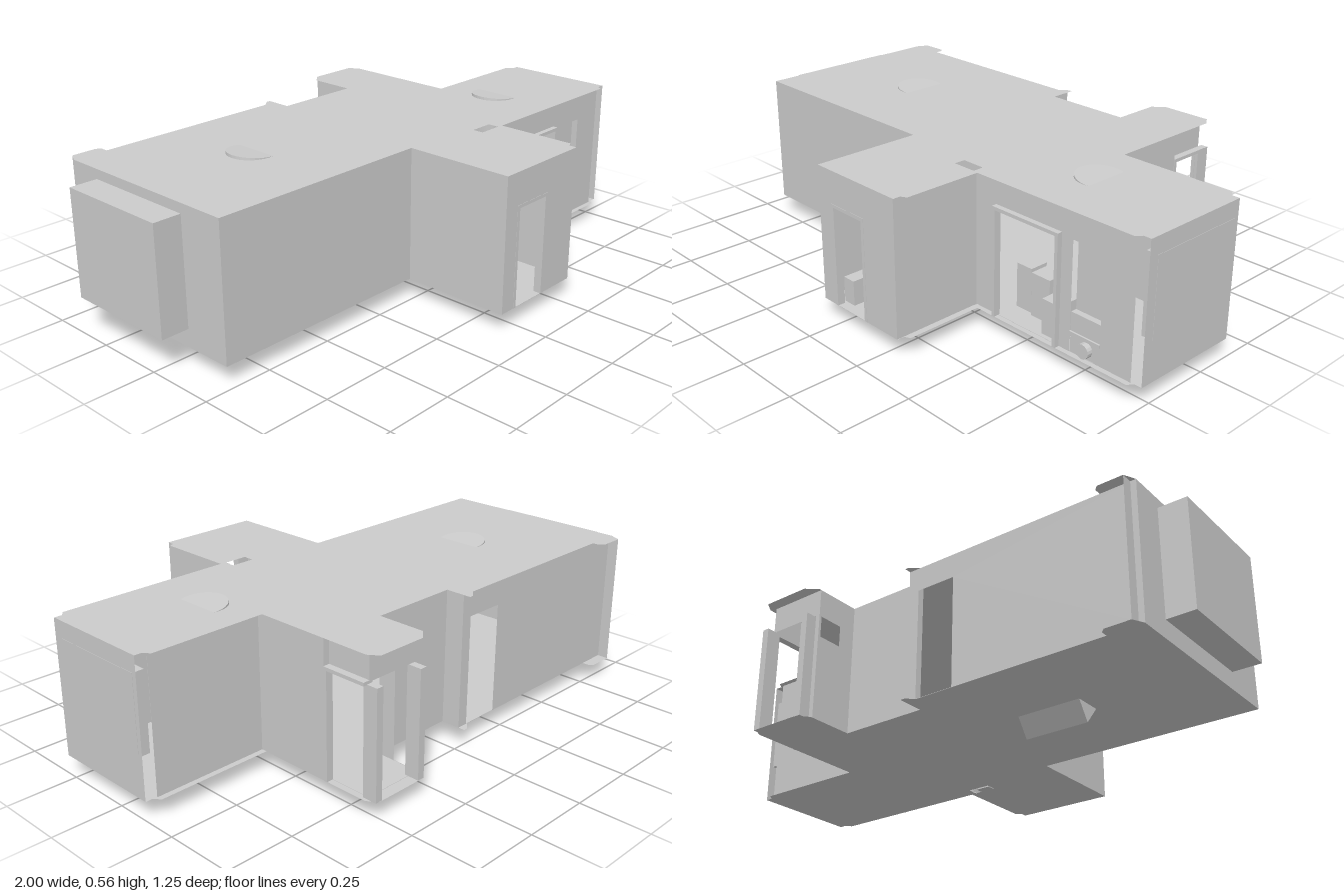
import * as THREE from 'three';

const FLOOR = 0.066, ROOF = 0.545;

export function createModel() {
  const model = new THREE.Group();
  const mat = new THREE.MeshStandardMaterial({ color: 0xcccccc, flatShading: true, side: THREE.DoubleSide });
  const smooth = new THREE.MeshStandardMaterial({ color: 0xcccccc, side: THREE.DoubleSide });

  const add = (name, geo, material = mat) => {
    const mesh = new THREE.Mesh(geo, material);
    mesh.name = name;
    model.add(mesh);
    return mesh;
  };
  // box given by its two extreme corners
  const box = (name, x0, x1, y0, y1, z0, z1) => {
    const m = add(name, new THREE.BoxGeometry(x1 - x0, y1 - y0, z1 - z0));
    m.position.set((x0 + x1) / 2, (y0 + y1) / 2, (z0 + z1) / 2);
  };
  const rect = (a, b, c, d) => [[a, c], [b, c], [b, d], [a, d]].map(p => new THREE.Vector2(...p));

  // horizontal sheet from the plan outline in x, z
  const slab = (name, y, outline, hole) => {
    const s = new THREE.Shape(outline.map(([x, z]) => new THREE.Vector2(x, z)));
    s.holes.push(new THREE.Path(rect(...hole)));
    const g = new THREE.ShapeGeometry(s);
    g.rotateX(Math.PI / 2);
    add(name, g).position.y = y;
  };
  // upright sheet between two plan points; openings are [start, end, bottom, top] along it
  const wall = (name, [x0, z0], [x1, z1], openings = []) => {
    const len = Math.hypot(x1 - x0, z1 - z0);
    const s = new THREE.Shape(rect(0, len, FLOOR, ROOF));
    for (const o of openings) s.holes.push(new THREE.Path(rect(...o)));
    const m = add(name, new THREE.ShapeGeometry(s));
    m.position.set(x0, 0, z0);
    m.rotation.y = Math.atan2(-(z1 - z0), x1 - x0);
  };
  // three-sided frame around a doorway in a wall facing z
  const doorFrame = (name, x0, x1, top, z0, z1, t) => {
    box(name + 'Left', x1 - t, x1, FLOOR, top, z0, z1);
    box(name + 'Right', x0, x0 + t, FLOOR, top, z0, z1);
    box(name + 'Head', x0, x1, top - t, top, z0, z1);
  };

  // floor and ceiling sheets, reaching past the walls at the corners
  const plan = [
    [-0.9, -0.49], [-0.88, -0.53], [-0.79, -0.53], [-0.775, -0.515], [-0.775, -0.49],
    [-0.075, -0.49], [-0.045, -0.515], [-0.03, -0.515], [-0.03, -0.42], [0.29, -0.42],
    [0.29, -0.592], [0.33, -0.627], [0.51, -0.627], [0.535, -0.592],
    [0.535, -0.15], [0.955, -0.15], [0.972, -0.127], [0.998, -0.127], [0.998, 0.285],
    [0.97, 0.285], [0.955, 0.305], [0.322, 0.305], [0.322, 0.59], [0.302, 0.6],
    [0.302, 0.627], [-0.075, 0.627], [-0.075, 0.23], [-0.9, 0.23],
  ];
  const shaft = [0.215, 0.302, 0.262, 0.302];
  slab('ceiling', ROOF, plan, shaft);
  slab('floor', FLOOR, plan, shaft);
  box('shaftBeam', 0.22, 0.275, FLOOR, ROOF - 0.02, 0.272, 0.302);

  // outer walls
  wall('frontRightWall', [-0.9, 0.23], [-0.075, 0.23]);
  wall('porchRightWall', [-0.075, 0.23], [-0.075, 0.627]);
  wall('porchFrontWall', [-0.075, 0.627], [0.3, 0.627], [[0.06, 0.225, FLOOR + 0.001, 0.43]]);
  wall('porchLeftWall', [0.3, 0.627], [0.3, 0.285]);
  wall('frontLeftWall', [0.3, 0.287], [0.957, 0.287],
    [[0.09, 0.37, FLOOR + 0.001, 0.455], [0.415, 0.535, FLOOR + 0.001, 0.445]]);
  wall('leftEndWall', [0.998, 0.287], [0.998, -0.127]);
  wall('backLeftWall', [0.957, -0.13], [0.535, -0.13]);
  wall('annexInnerWall', [0.535, -0.13], [0.535, -0.42]);
  wall('annexStepWall', [0.535, -0.42], [0.512, -0.42]);
  wall('annexLeftWall', [0.512, -0.42], [0.512, -0.585], [[0.008, 0.15, FLOOR + 0.001, 0.445]]);
  wall('annexRightWall', [0.29, -0.42], [0.29, -0.585], [[0.065, 0.155, FLOOR + 0.001, 0.445]]);
  wall('annexEndWall', [0.512, -0.585], [0.29, -0.585], [[0.012, 0.202, FLOOR + 0.001, 0.45]]);
  wall('backMiddleWall', [0.29, -0.42], [-0.03, -0.42]);
  wall('backStepWall', [-0.03, -0.42], [-0.03, -0.49]);
  wall('backRightWall', [-0.03, -0.49], [-0.9, -0.49], [[0.04, 0.185, FLOOR + 0.001, 0.46]]);
  wall('backCornerFin', [-0.88, -0.49], [-0.88, -0.53]);
  wall('rightEndWall', [-0.9, -0.49], [-0.9, 0.23]);

  // bay pushed out of the right end, window box set into the left end
  box('rightEndAlcove', -1, -0.9, 0.13, 0.51, -0.368, 0.055);
  box('leftEndWindowBox', 0.957, 0.999, 0.21, 0.485, -0.11, 0.25);

  // door frames and annex posts
  doorFrame('porchDoorFrame', -0.015, 0.15, 0.43, 0.6, 0.628, 0.012);
  doorFrame('frontDoorFrame', 0.39, 0.67, 0.455, 0.28, 0.306, 0.012);
  for (const x of [0.32, 0.51]) box('annexEndPost', x - 0.013, x + 0.013, FLOOR, 0.445, -0.626, -0.572);
  box('annexSidePost', 0.51, 0.537, FLOOR, 0.455, -0.432, -0.42);
  box('annexSideHead', 0.51, 0.537, 0.443, 0.455, -0.585, -0.42);

  // ceiling lamps with a tilted cap showing just above the roof
  for (const [x, z] of [[-0.46, -0.13], [0.61, 0.05]]) {
    const lamp = add('ceilingLamp', new THREE.CylinderGeometry(0.118, 0.108, 0.155, 32), smooth);
    lamp.position.set(x, 0.462, z);
    const cap = add('lampCap', new THREE.CylinderGeometry(0.085, 0.085, 0.01, 32));
    cap.position.set(x, 0.542, z);
    cap.rotation.z = -0.1;
  }

  // wedge-shaped sump under the floor
  const wedge = new THREE.Shape([[0.085, FLOOR], [0.185, FLOOR], [0.14, 0]].map(p => new THREE.Vector2(...p)));
  const sump = add('floorSump', new THREE.ExtrudeGeometry(wedge, { depth: 0.235, bevelEnabled: false }));
  sump.rotation.y = Math.PI / 2;
  sump.position.x = -0.485;

  // cabinets behind the front doorway
  box('lowCabinet', 0.4, 0.465, FLOOR, 0.225, 0.13, 0.2);
  box('middleCabinet', 0.475, 0.555, FLOOR, 0.22, 0.12, 0.21);
  box('sideCabinet', 0.58, 0.655, FLOOR, 0.19, 0.18, 0.27);
  box('porchBench', -0.015, 0.035, FLOOR, 0.155, 0.5, 0.59);

  // shallow washroom niche beside the front doorway
  box('nicheBack', 0.715, 0.835, 0.205, 0.445, 0.255, 0.263);
  box('nicheLowerPanel', 0.715, 0.835, FLOOR, 0.205, 0.262, 0.285);
  box('nicheLedge', 0.715, 0.835, 0.128, 0.14, 0.28, 0.291);
  const bowl = add('nicheBowl', new THREE.CylinderGeometry(0.025, 0.025, 0.03, 16));
  bowl.rotation.x = Math.PI / 2;
  bowl.position.set(0.78, 0.1, 0.29);

  return model;
}
